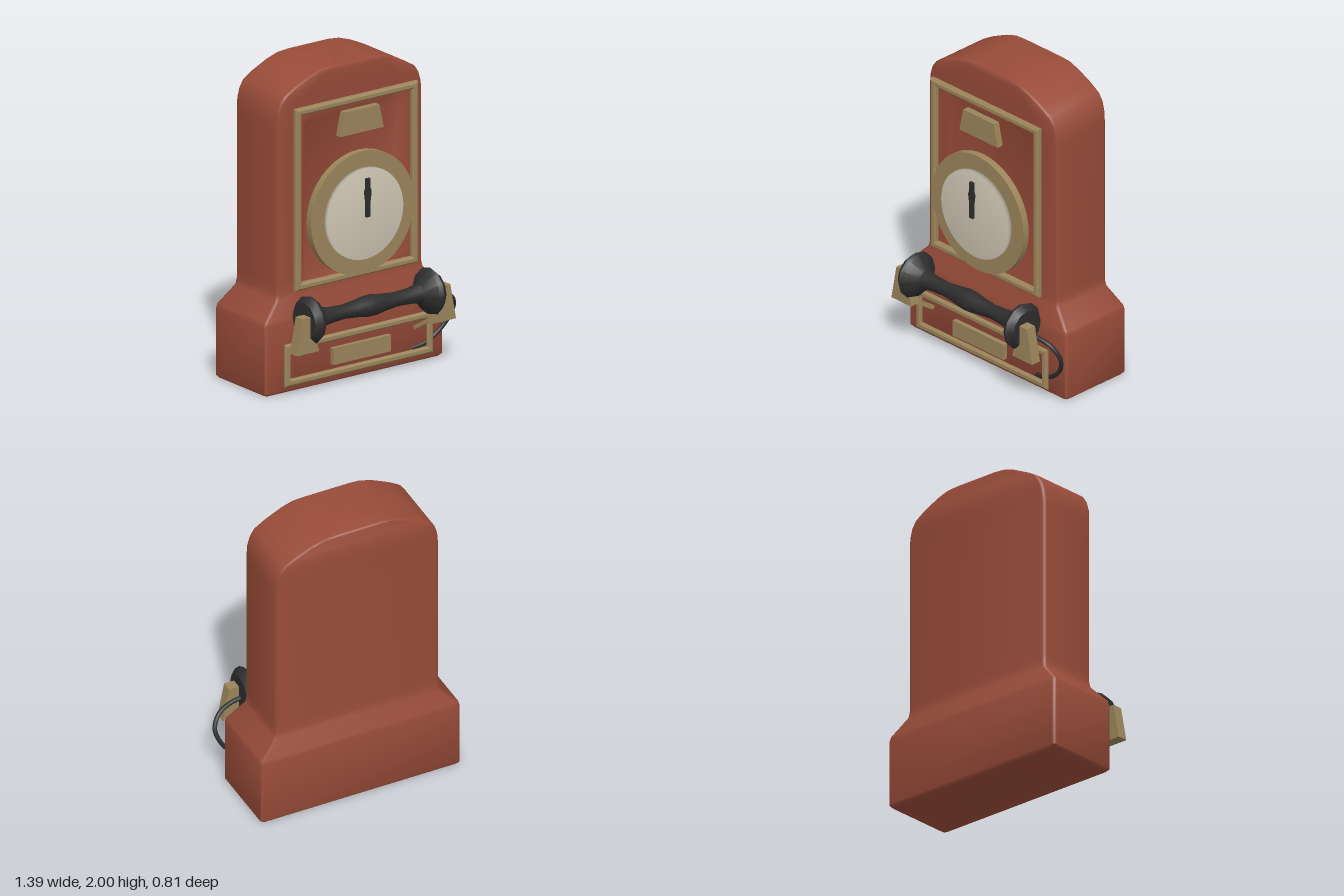
import * as THREE from 'three';
import { mergeVertices, toCreasedNormals } from 'three/addons/utils/BufferGeometryUtils.js';

const CX = -0.02; // centre line of the cabinet

const mat = (name, color, side = THREE.FrontSide) => {
  const m = new THREE.MeshStandardMaterial({ color, side });
  m.name = name;
  return m;
};

// Cabinet: rounded rectangles stacked upwards, with a shallow recess in the front
function cabinetGeometry() {
  // y, half width, front z, back z, recess depth
  const rows = [
    [0, 0.662, 0.092, -0.392, 0], [0.014, 0.675, 0.105, -0.405, 0],
    [0.44, 0.675, 0.105, -0.405, 0], [0.47, 0.666, 0.101, -0.401, 0],
    [0.58, 0.56, 0.064, -0.362, 0], [0.62, 0.552, 0.06, -0.358, 0],
    [0.67, 0.552, 0.06, -0.358, 0], [0.72, 0.552, 0.06, -0.358, 0.025],
    [1.66, 0.552, 0.06, -0.358, 0.025], [1.71, 0.551, 0.061, -0.359, 0],
    [1.77, 0.545, 0.064, -0.362, 0], [1.83, 0.525, 0.068, -0.366, 0],
    [1.873, 0.495, 0.071, -0.368, 0], [1.915, 0.425, 0.073, -0.37, 0],
    [1.965, 0.32, 0.074, -0.37, 0], [1.99, 0.245, 0.073, -0.369, 0],
    [2.0, 0.17, 0.066, -0.362, 0],
  ];
  const pos = [], idx = [], r = 0.02;
  let n = 0;
  for (const [y, w, zf, zb, dip] of rows) {
    const ring = [];
    const corner = (x, z, start) => {
      for (let k = 0; k < 3; k++) {
        const a = start + k * Math.PI / 4;
        ring.push([x + r * Math.sin(a), z + r * Math.cos(a)]);
      }
    };
    corner(-w + r, zf - r, -Math.PI / 2);
    for (const f of [-0.66, -0.58, 0.58, 0.66]) ring.push([w * f, zf - (Math.abs(f) < 0.6 ? dip : 0)]);
    corner(w - r, zf - r, 0);
    corner(w - r, zb + r, Math.PI / 2);
    corner(-w + r, zb + r, Math.PI);
    n = ring.length;
    for (const [x, z] of ring) pos.push(x + CX, y, z);
  }
  const last = (rows.length - 1) * n;
  for (let i = 0; i < last; i += n) {
    for (let j = 0; j < n; j++) {
      const k = (j + 1) % n;
      idx.push(i + j, i + k, i + n + k, i + j, i + n + k, i + n + j);
    }
  }
  // closed bottom and top
  const c = pos.length / 3;
  pos.push(CX, 0, -0.15, CX, 2, -0.15);
  for (let j = 0; j < n; j++) {
    const k = (j + 1) % n;
    idx.push(c, k, j, c + 1, last + j, last + k);
  }
  const g = new THREE.BufferGeometry();
  g.setAttribute('position', new THREE.Float32BufferAttribute(pos, 3));
  g.setIndex(idx);
  return toCreasedNormals(g, 0.85);
}

const polygon = (pts) => new THREE.Shape(pts.map(([x, y]) => new THREE.Vector2(x, y)));

// Flat outline given depth between z0 and z1
function plate(pts, z0, z1) {
  const g = new THREE.ExtrudeGeometry(polygon(pts), { depth: z1 - z0, bevelEnabled: false });
  return g.translate(0, 0, z0);
}

// Rectangular moulding with chamfered edges
function frame(x0, x1, y0, y1, z0, z1, t) {
  const b = 0.012;
  const rect = (d) => [[x0 + d, y0 + d], [x1 - d, y0 + d], [x1 - d, y1 - d], [x0 + d, y1 - d]];
  const shape = polygon(rect(b));
  shape.holes.push(polygon(rect(t - b).reverse()));
  const g = new THREE.ExtrudeGeometry(shape, {
    depth: z1 - z0 - 2 * b, bevelThickness: b, bevelSize: b, bevelSegments: 1,
  });
  return g.translate(0, 0, z0 + b);
}

export function createModel() {
  const model = new THREE.Group();
  model.name = 'wallTelephone';
  const red = mat('redBrownBody', 0x994c39);
  const brass = mat('agedBrass', 0x9a845a);
  const black = mat('blackPlastic', 0x2d2d2e);
  const cream = mat('creamDial', 0xcfc6b4);

  const add = (name, geometry, material, parent = model) => {
    const m = new THREE.Mesh(geometry, material);
    m.name = name;
    parent.add(m);
    return m;
  };

  add('cabinet', cabinetGeometry(), red);

  // Mouldings and plates on the front
  add('upperFrame', frame(-0.485, 0.445, 0.642, 1.8, 0.095, 0.14, 0.045), brass);
  add('lowerFrame', frame(-0.585, 0.542, 0.055, 0.325, 0.132, 0.165, 0.045), brass);
  add('topPlate', plate([[-0.185, 1.58], [0.145, 1.58], [0.112, 1.73], [-0.152, 1.73]], 0.14, 0.183), brass);
  add('lowerPlate', plate([[-0.24, 0.138], [0.198, 0.138], [0.198, 0.243], [-0.24, 0.243]], 0.155, 0.185), brass);

  // Dial: brass bezel, softly shaded face and pointer
  const dial = new THREE.Group();
  dial.name = 'dial';
  dial.position.set(CX, 1.067, 0);
  model.add(dial);
  const disc = (r, z0, z1) => new THREE.CylinderGeometry(r, r, z1 - z0, 40)
    .rotateX(Math.PI / 2).translate(0, 0, (z0 + z1) / 2);
  add('dialBezel', disc(0.392, 0.142, 0.188), brass, dial);
  const face = disc(0.29, 0.186, 0.214);
  face.deleteAttribute('normal');
  face.deleteAttribute('uv');
  const softFace = mergeVertices(face, 1e-4);
  softFace.computeVertexNormals();
  add('dialFace', softFace, cream, dial);
  add('dialPointer', plate([
    [-0.014, -0.012], [0.014, -0.012], [0.016, 0.09], [0.024, 0.15], [0.016, 0.17],
    [0.016, 0.233], [-0.016, 0.233], [-0.016, 0.17], [-0.024, 0.15], [-0.016, 0.09],
  ], 0.232, 0.248), black, dial);

  // Handset: one symmetrical profile turned about the x axis
  const half = [
    [0, 0.498], [0.115, 0.498], [0.15, 0.458], [0.137, 0.432], [0.062, 0.372],
    [0.05, 0.3], [0.045, 0.2], [0.055, 0.1], [0.066, 0.03],
  ];
  const profile = half.map(([r, x]) => [r, -x]).concat(half.slice().reverse());
  const turned = new THREE.LatheGeometry(profile.map(([r, x]) => new THREE.Vector2(r, x)), 12);
  const handset = add('handset', toCreasedNormals(turned.rotateZ(-Math.PI / 2), 0.56), black);
  handset.position.set(-0.022, 0.495, 0.26);

  // Handset rests with slanted arms, mirrored left and right
  for (const s of [-1, 1]) {
    const side = s < 0 ? 'right' : 'left';
    const pts = [[0.435, 0.308], [0.605, 0.308], [0.562, 0.535], [0.49, 0.535]].map(([x, y]) => [CX + s * x, y]);
    if (s < 0) pts.reverse();
    add(side + 'HandsetRest', plate(pts, 0.258, 0.326), brass);
    const a = new THREE.Vector3(CX + s * 0.46, 0.325, 0.28);
    const b = new THREE.Vector3(CX + s * 0.43, 0.238, 0.145);
    const arm = add(side + 'RestArm', new THREE.BoxGeometry(0.025, 0.025, a.distanceTo(b)), brass);
    arm.position.copy(a).add(b).multiplyScalar(0.5);
    arm.lookAt(a);
  }

  // Cord looping from the handset down to the base
  const path = new THREE.CatmullRomCurve3([
    [0.44, 0.46, 0.245], [0.54, 0.448, 0.238], [0.63, 0.415, 0.215], [0.678, 0.335, 0.18],
    [0.645, 0.23, 0.145], [0.56, 0.145, 0.127], [0.48, 0.11, 0.122], [0.41, 0.095, 0.11],
  ].map((p) => new THREE.Vector3(...p)));
  add('cord', new THREE.TubeGeometry(path, 36, 0.014, 8), black);

  return model;
}
